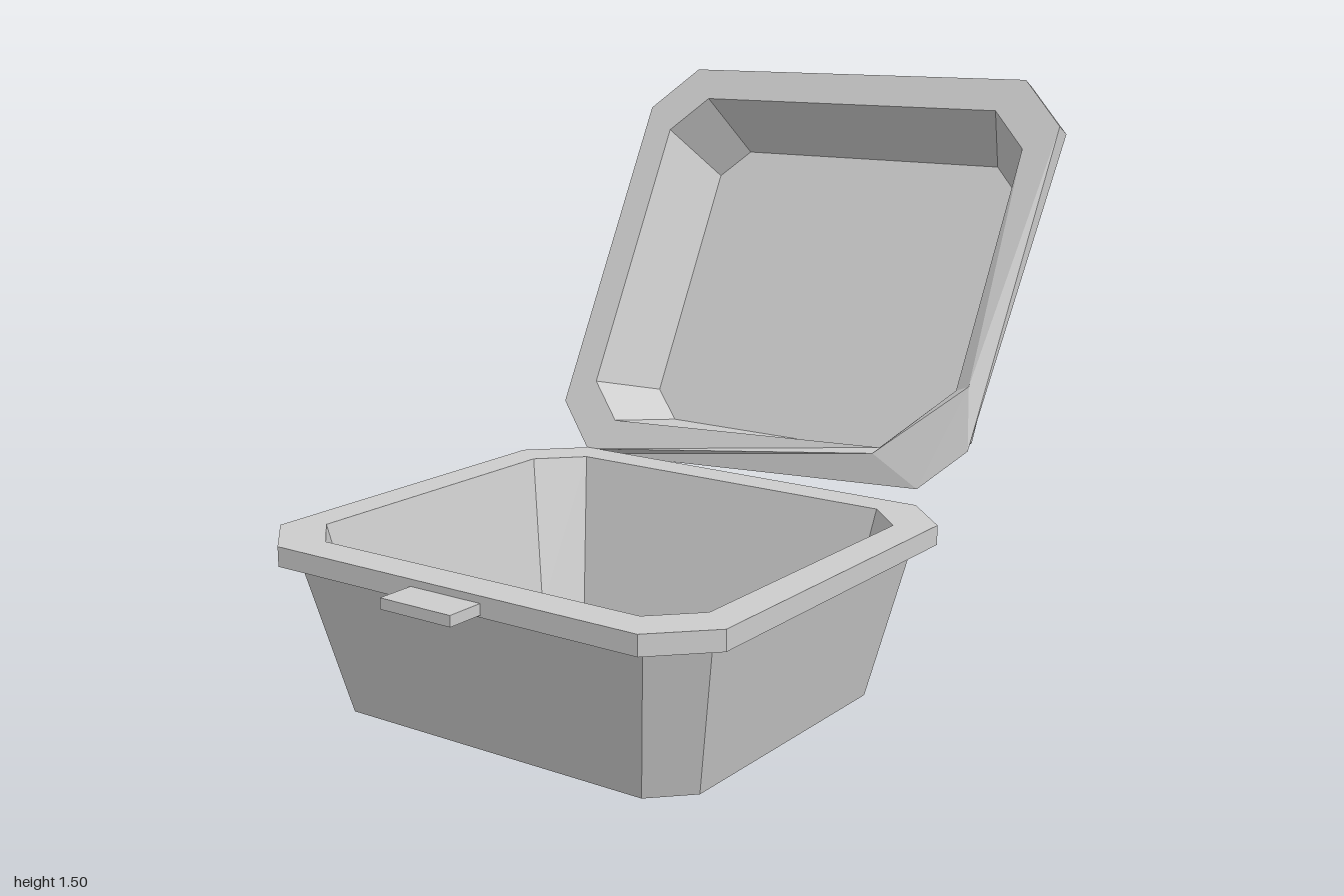
import * as THREE from 'three';

const foam = new THREE.MeshStandardMaterial({ color: 0xcccccc, flatShading: true });
foam.name = 'light grey foam';

// Chamfered rectangle at height y, from z0 (back) to z1 (front)
function octagon(hx, z0, z1, c, y) {
  return [
    [-hx + c, y, z1], [hx - c, y, z1], [hx, y, z1 - c], [hx, y, z0 + c],
    [hx - c, y, z0], [-hx + c, y, z0], [-hx, y, z0 + c], [-hx, y, z1 - c],
  ];
}

// Joins the rings in order and closes the first and last one
function loft(rings, name) {
  const pos = [];
  const tri = (a, b, c) => pos.push(...a, ...b, ...c);
  for (let r = 0; r < rings.length - 1; r++) {
    const a = rings[r], b = rings[r + 1];
    for (let i = 0; i < 8; i++) {
      const j = (i + 1) % 8;
      tri(a[i], a[j], b[j]);
      tri(a[i], b[j], b[i]);
    }
  }
  const first = rings[0], last = rings[rings.length - 1];
  for (let i = 1; i < 7; i++) {
    tri(first[0], first[i + 1], first[i]);
    tri(last[0], last[i], last[i + 1]);
  }
  const geo = new THREE.BufferGeometry();
  geo.setAttribute('position', new THREE.Float32BufferAttribute(pos, 3));
  geo.computeVertexNormals();
  const mesh = new THREE.Mesh(geo, foam);
  mesh.name = name;
  return mesh;
}

export function createModel() {
  const model = new THREE.Group();
  model.name = 'takeawayBox';

  // Tray: outer wall, rim, then the inner wall and floor
  model.add(loft([
    octagon(0.53, -0.15, 0.76, 0.092, 0),
    octagon(0.615, -0.24, 0.85, 0.106, 0.39),
    octagon(0.665, -0.3, 0.9, 0.132, 0.39),
    octagon(0.665, -0.3, 0.9, 0.132, 0.44),
    octagon(0.575, -0.21, 0.805, 0.106, 0.44),
    octagon(0.495, -0.12, 0.72, 0.083, 0.04),
  ], 'tray'));

  // Closing tab on the front rim
  const tab = new THREE.Mesh(new THREE.BoxGeometry(0.207, 0.027, 0.11), foam);
  tab.name = 'closingTab';
  tab.position.set(0, 0.409, 0.943);
  model.add(tab);

  // Lid: a shallower tray, opened about the back edge
  const rings = [
    octagon(0.53, -1.061, -0.148, 0.092, -0.23),
    octagon(0.615, -1.14, -0.06, 0.106, -0.05),
    octagon(0.665, -1.2, 0, 0.13, -0.05),
    octagon(0.665, -1.2, 0, 0.13, 0),
    octagon(0.575, -1.107, -0.096, 0.106, 0),
    octagon(0.495, -1.027, -0.17, 0.083, -0.205),
  ];
  // Crumpled hinge corner on the left
  const crumple = (ring, p, q) => { rings[ring][1] = p; rings[ring][2] = q; };
  crumple(1, [0.47, -0.055, -0.085], [0.575, -0.055, -0.2]);
  crumple(2, [0.5, -0.045, -0.055], [0.615, -0.045, -0.175]);
  crumple(3, [0.36, -0.02, -0.125], [0.585, -0.02, -0.34]);
  crumple(4, [0.36, -0.05, -0.15], [0.542, -0.04, -0.33]);
  const lid = loft(rings, 'lid');
  lid.position.set(0, 0.435, -0.3);
  lid.rotation.x = 1.086;
  model.add(lid);

  return model;
}
